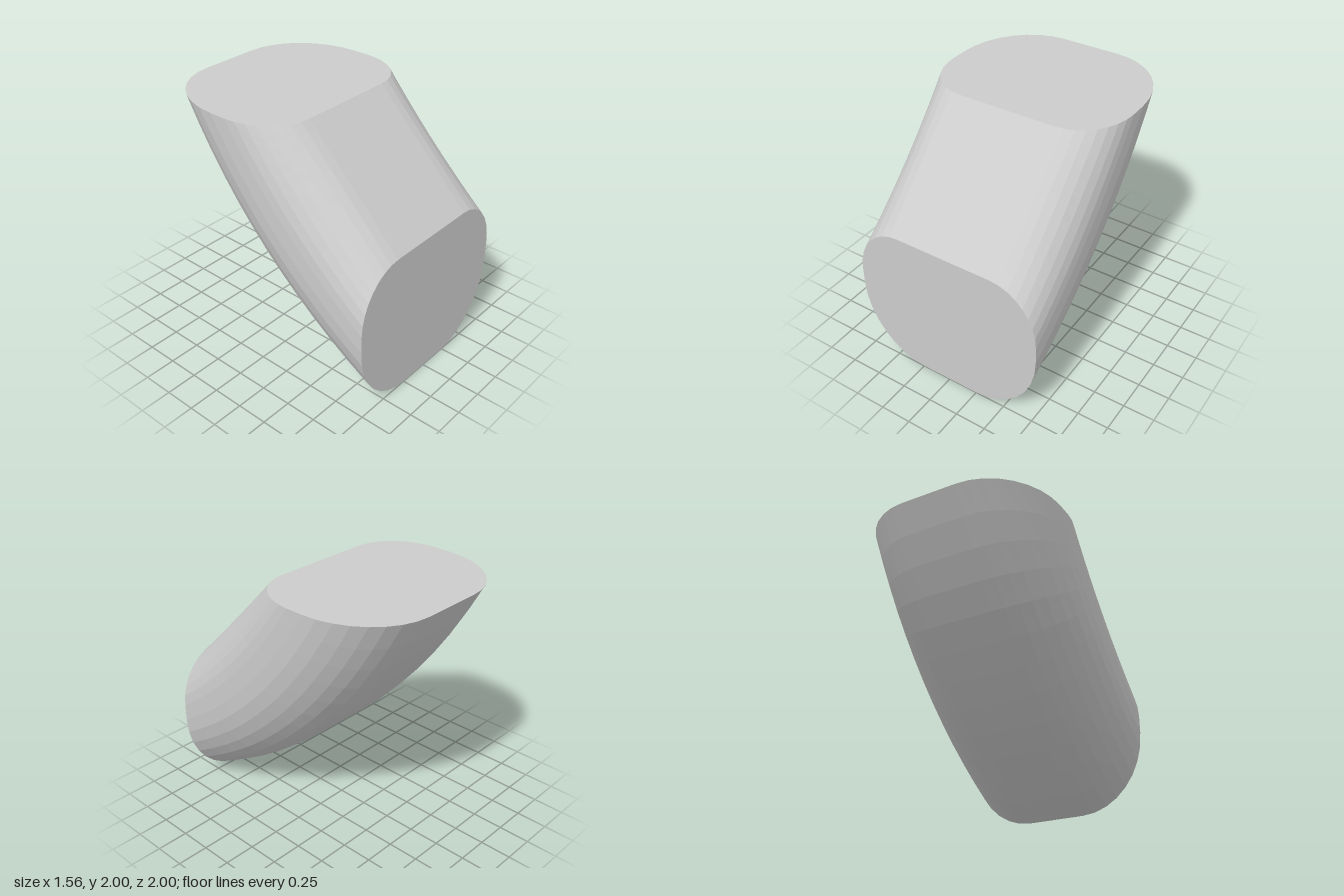
import * as THREE from 'three';

const STEPS = 12;        // segments along the bend
const CORNER = 8;        // segments per rounded corner
const H = 1.2;           // height of the end face
const BOW = 0.163;       // outward bow of the outer edge, per axis

// Half outline of the end face as [x, y], outer edge first
function endOutline() {
  const half = [];
  for (let i = 0; i <= CORNER; i++) {
    const a = (i / CORNER) * Math.PI / 2;
    half.push([0.24 + 0.54 * Math.sin(a), 0.62 - 0.62 * Math.cos(a)]);
  }
  for (let i = 0; i <= CORNER; i++) {
    const a = (i / CORNER) * Math.PI / 2;
    half.push([0.4 + 0.38 * Math.cos(a), 0.76 + 0.44 * Math.sin(a)]);
  }
  return [...half, ...half.map(([x, y]) => [-x, y]).reverse()];
}

// Carries an outline point along the bend: straight inside, bowed outside
function along([x, y], t) {
  const bow = BOW * (1 - y / H) * 4 * t * (1 - t);
  return [x, y + (2 - y) * t - bow, 1 + (y - 2) * t - bow];
}

export function createModel() {
  const outline = endOutline();
  const n = outline.length;
  const positions = [];
  const index = [];

  // Bent wall
  for (let s = 0; s <= STEPS; s++) {
    for (const p of outline) positions.push(...along(p, s / STEPS));
  }
  for (let s = 0; s < STEPS; s++) {
    for (let i = 0; i < n; i++) {
      const a = s * n + i, b = s * n + (i + 1) % n;
      index.push(a, b + n, b, a, a + n, b + n);
    }
  }

  // Flat front and top faces
  for (let i = 1; i < n - 1; i++) {
    const e = STEPS * n;
    index.push(0, i, i + 1, e, e + i + 1, e + i);
  }

  const geometry = new THREE.BufferGeometry();
  geometry.setAttribute('position', new THREE.Float32BufferAttribute(positions, 3));
  geometry.setIndex(index);
  // Wall winding faces outward, matching the end faces
  const flat = geometry.toNonIndexed();
  flat.computeVertexNormals();

  const body = new THREE.Mesh(flat, new THREE.MeshStandardMaterial({
    color: 0xcccccc, flatShading: true, side: THREE.DoubleSide,
  }));
  body.name = 'bentBlock';

  const group = new THREE.Group();
  group.name = 'bentRoundedBlock';
  group.add(body);
  return group;
}
